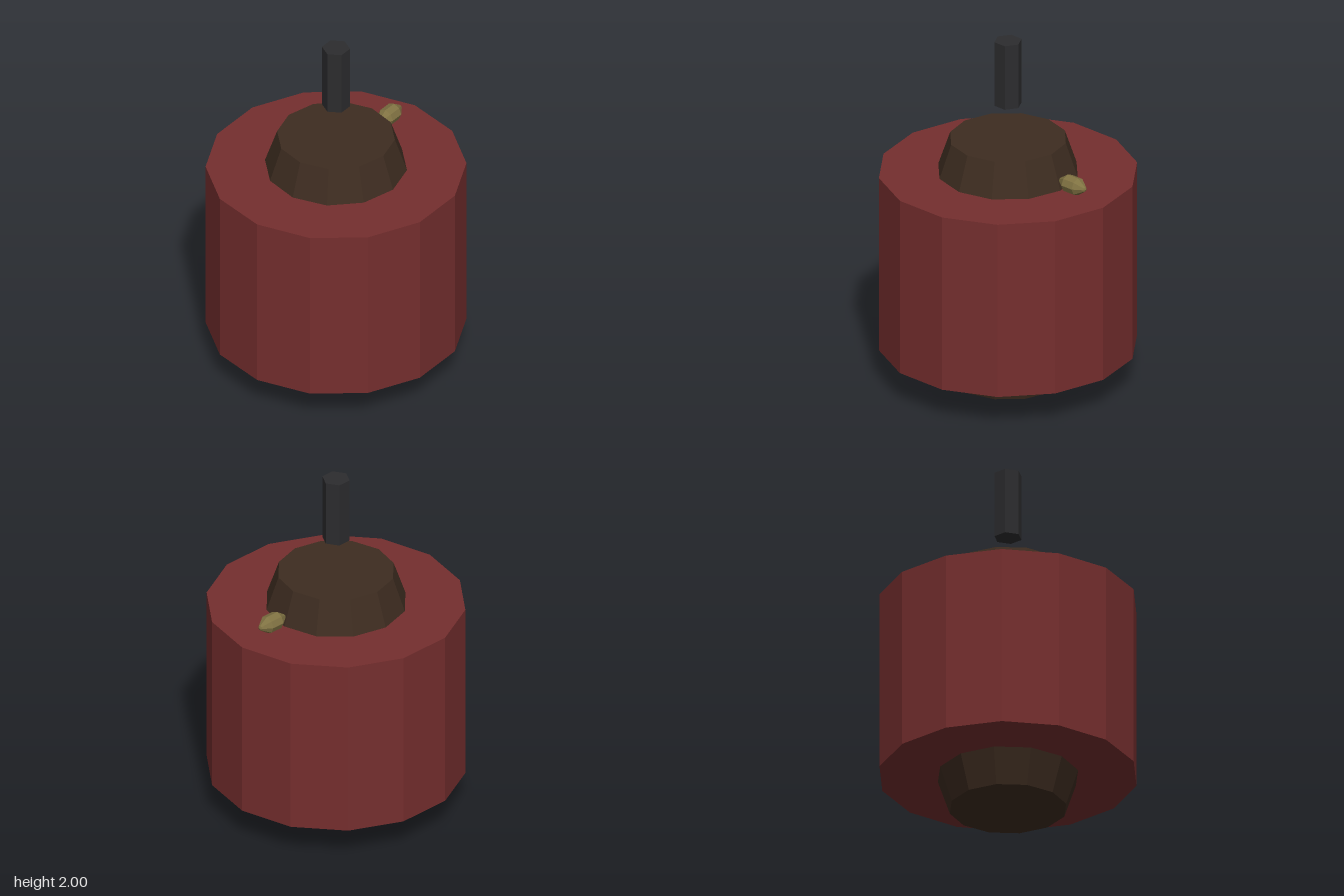
import * as THREE from 'three';

const flat = (name, color) => {
  const m = new THREE.MeshStandardMaterial({ color, flatShading: true });
  m.name = name;
  return m;
};

// Faceted solid of revolution around y, with a corner on +x
function turned(name, material, sides, profile) {
  const points = profile.map(([r, y]) => new THREE.Vector2(r, y));
  const geometry = new THREE.LatheGeometry(points, sides, Math.PI / 2).toNonIndexed();
  geometry.computeVertexNormals();
  const mesh = new THREE.Mesh(geometry, material);
  mesh.name = name;
  return mesh;
}

export function createModel() {
  const red = flat('dark red', 0x752e2e);
  const brown = flat('dark brown', 0x3d2c20);
  const charcoal = flat('charcoal', 0x2c2c2e);
  const brass = flat('old brass', 0x807242);

  const model = new THREE.Group();
  model.name = 'drum';

  // Wide fourteen-sided body
  model.add(turned('body', red, 14, [[0, 0.195], [0.708, 0.195], [0.708, 1.225], [0, 1.225]]));

  // Twelve-sided core, tapering where it leaves the body at both ends
  model.add(turned('core', brown, 12,
    [[0, 0], [0.322, 0], [0.39, 0.2], [0.39, 1.22], [0.322, 1.42], [0, 1.42]]));

  // Hexagonal pin floating above the core
  model.add(turned('pin', charcoal, 6, [[0, 1.62], [0.077, 1.62], [0.077, 2], [0, 2]]));

  // Small spindle-shaped bead lying along x beside the core
  const bead = turned('bead', brass, 8,
    [[0, -0.096], [0.014, -0.09], [0.05, -0.038], [0.05, 0.038], [0.014, 0.09], [0, 0.096]]);
  bead.rotation.z = -Math.PI / 2;
  bead.position.set(0.482, 1.29, 0);
  model.add(bead);

  return model;
}
